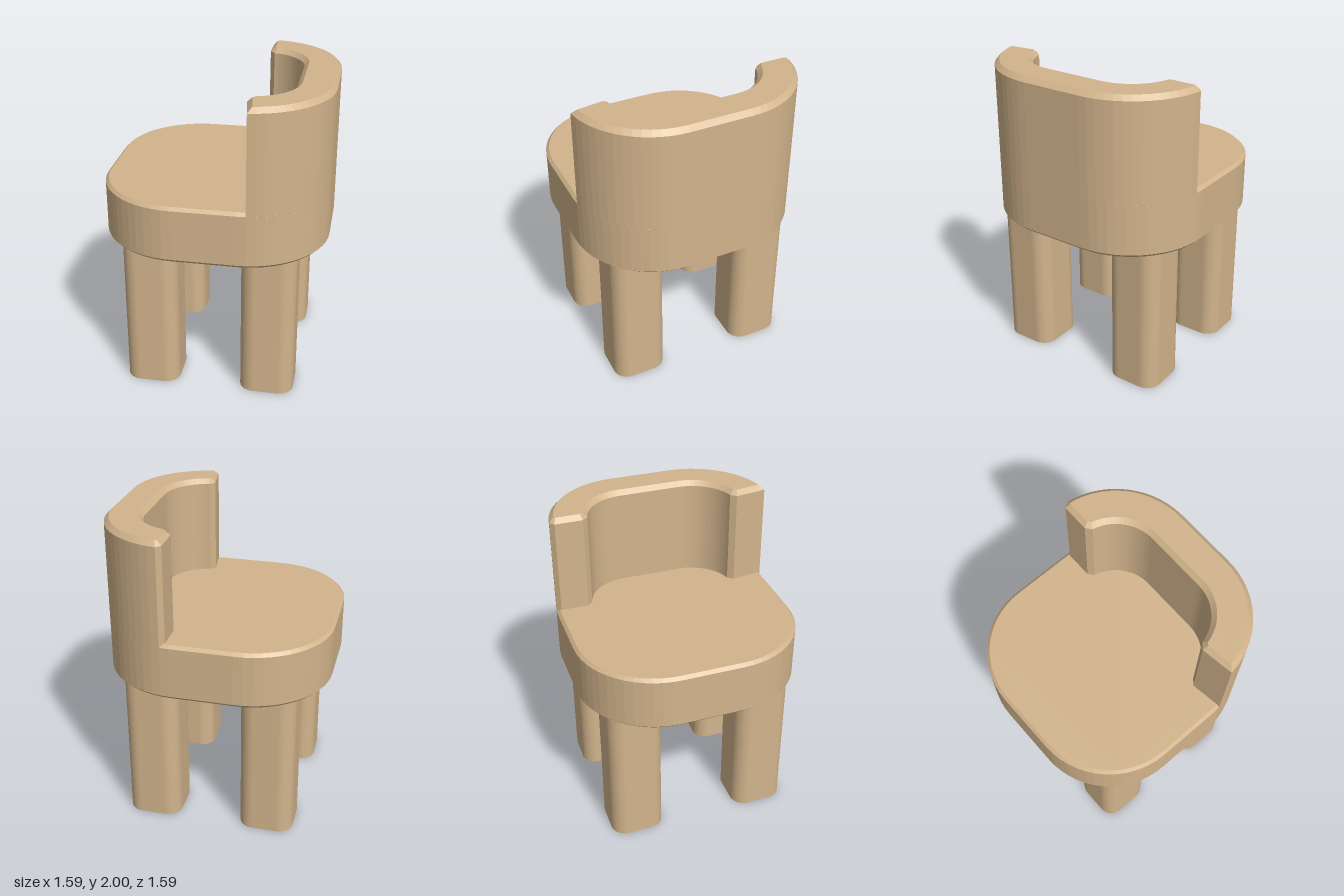
import * as THREE from 'three';

const HALF = 0.725;      // half width of the seat
const CORE = 0.2;        // offset of the corner centres
const RADIUS = HALF - CORE;
const ARC_STEPS = 7;

const wood = new THREE.MeshStandardMaterial({ color: 0xd2b48c, flatShading: true });

// Square outline with round corners
function roundedSquare(core, radius) {
  const shape = new THREE.Shape();
  const centres = [[core, core], [-core, core], [-core, -core], [core, -core]];
  centres.forEach(([x, y], i) => shape.absarc(x, y, radius, i * Math.PI / 2, (i + 1) * Math.PI / 2));
  shape.closePath();
  return shape;
}

// U-shaped outline wrapping the rear of the seat, with chamfered ends
function backrestOutline() {
  const end = 0.228, chamfer = 0.03, inner = 0.485;
  const innerRadius = inner - CORE;
  const rise = end + chamfer - CORE;
  const a = Math.asin(rise / RADIUS), b = Math.asin(rise / innerRadius);
  const shape = new THREE.Shape();
  shape.moveTo(HALF - chamfer, end);
  shape.absarc(CORE, CORE, RADIUS, a, Math.PI / 2);
  shape.absarc(-CORE, CORE, RADIUS, Math.PI / 2, Math.PI - a);
  shape.lineTo(-HALF + chamfer, end);
  shape.lineTo(-inner - chamfer, end);
  shape.absarc(-CORE, CORE, innerRadius, Math.PI - b, Math.PI / 2, true);
  shape.absarc(CORE, CORE, innerRadius, Math.PI / 2, b, true);
  shape.lineTo(inner + chamfer, end);
  shape.closePath();
  return shape;
}

// Upright slab from y0 to y1, edges bevelled inward
function slab(name, shape, y0, y1, bevel) {
  const geometry = new THREE.ExtrudeGeometry(shape, {
    depth: y1 - y0 - 2 * bevel,
    curveSegments: ARC_STEPS,
    bevelEnabled: bevel > 0,
    bevelSize: bevel,
    bevelThickness: bevel,
    bevelOffset: -bevel,
    bevelSegments: 1,
  });
  geometry.rotateX(-Math.PI / 2);
  geometry.translate(0, y0 + bevel, 0);
  const mesh = new THREE.Mesh(geometry, wood);
  mesh.name = name;
  return mesh;
}

export function createModel() {
  const chair = new THREE.Group();
  chair.name = 'chair';

  chair.add(slab('seat', roundedSquare(CORE, RADIUS), 0.98, 1.35, 0.02));

  // The lower bevel of the backrest is sunk into the seat
  chair.add(slab('backrest', backrestOutline(), 1.3, 2, 0.03));

  // Four legs
  for (const [side, sx] of [['Left', 1], ['Right', -1]]) {
    for (const [end, sz] of [['front', 1], ['back', -1]]) {
      const leg = slab(`${end}${side}Leg`, roundedSquare(0.08, 0.096), 0, 0.99, 0);
      leg.position.set(sx * 0.435, 0, sz * 0.38);
      chair.add(leg);
    }
  }

  // The chair is turned on its vertical axis
  chair.rotation.y = THREE.MathUtils.degToRad(-61);
  const model = new THREE.Group();
  model.add(chair);
  return model;
}
